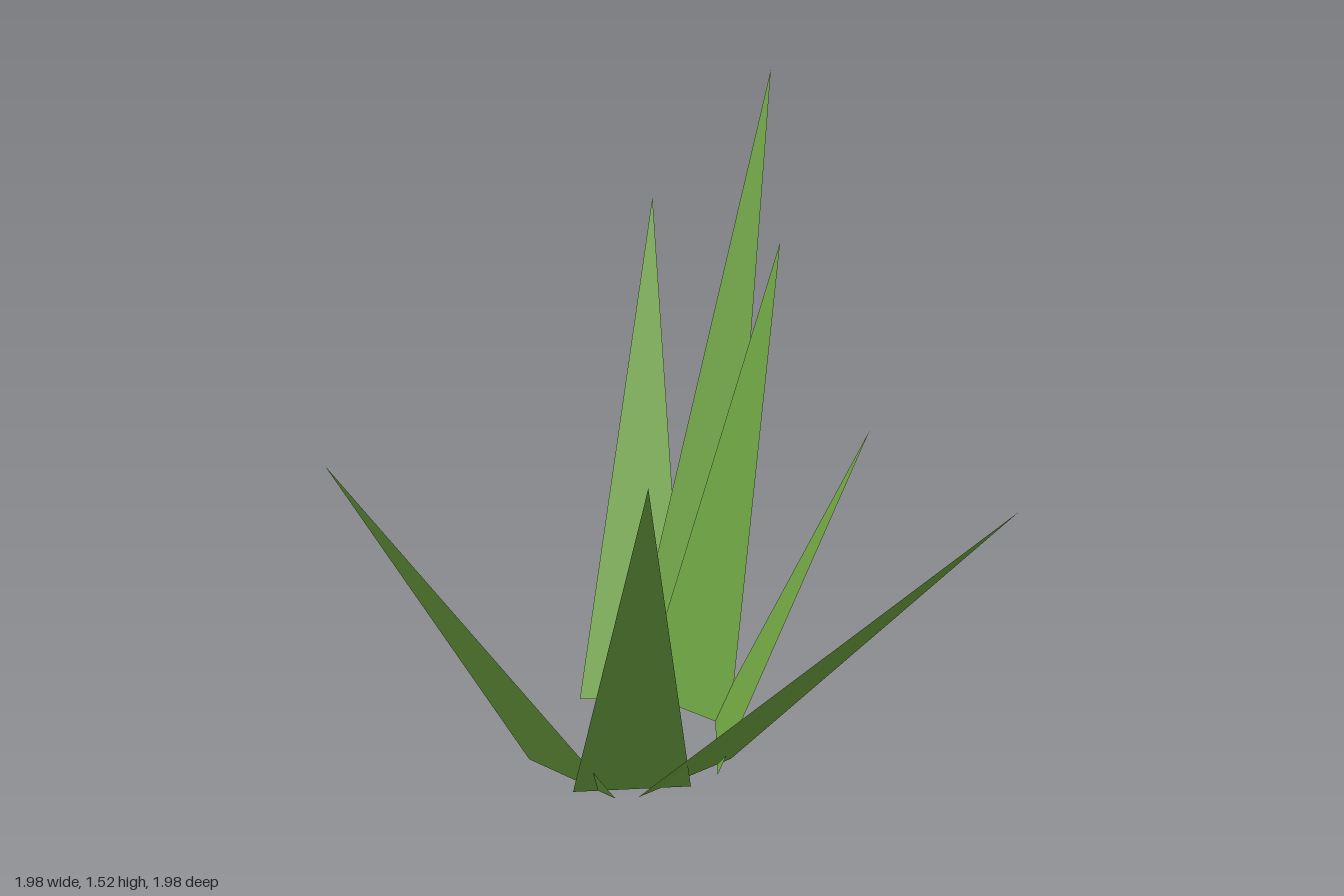
import * as THREE from 'three';

// Each blade: base corner (x, z), base corner (x, z), tip (x, y, z)
const BLADES = [
  [[-0.505, -0.08], [-0.285, -0.235], [-0.99, 0.935, -0.99]],
  [[-0.445, -0.19], [-0.17, -0.235], [-0.405, 1.52, -0.73]],
  [[-0.4, -0.2], [-0.125, -0.205], [-0.23, 1.175, -0.54]],
  [[-0.185, -0.225], [-0.01, -0.01], [0.2, 0.885, -0.325]],
  [[-0.03, -0.09], [-0.1, 0.187], [0.985, 1.165, 0.235]],
  [[-0.03, 0.07], [-0.24, 0.265], [0.58, 1.4, 0.975]],
  [[-0.14, 0.225], [-0.42, 0.217], [-0.303, 1.172, 0.99]],
];

// Flat triangular leaf standing on the ground
function makeBlade([a, b, tip], material) {
  const geometry = new THREE.BufferGeometry().setFromPoints([
    new THREE.Vector3(a[0], 0, a[1]),
    new THREE.Vector3(b[0], 0, b[1]),
    new THREE.Vector3(...tip),
  ]);
  geometry.computeVertexNormals();
  return new THREE.Mesh(geometry, material);
}

export function createModel() {
  const group = new THREE.Group();
  group.name = 'grassTuft';

  const grassGreen = new THREE.MeshStandardMaterial({ color: 0x6b9f3f, side: THREE.DoubleSide });
  grassGreen.name = 'grass green';

  // Ring of blades leaning outward
  BLADES.forEach((blade, i) => {
    const mesh = makeBlade(blade, grassGreen);
    mesh.name = `blade${i + 1}`;
    group.add(mesh);
  });
  return group;
}
